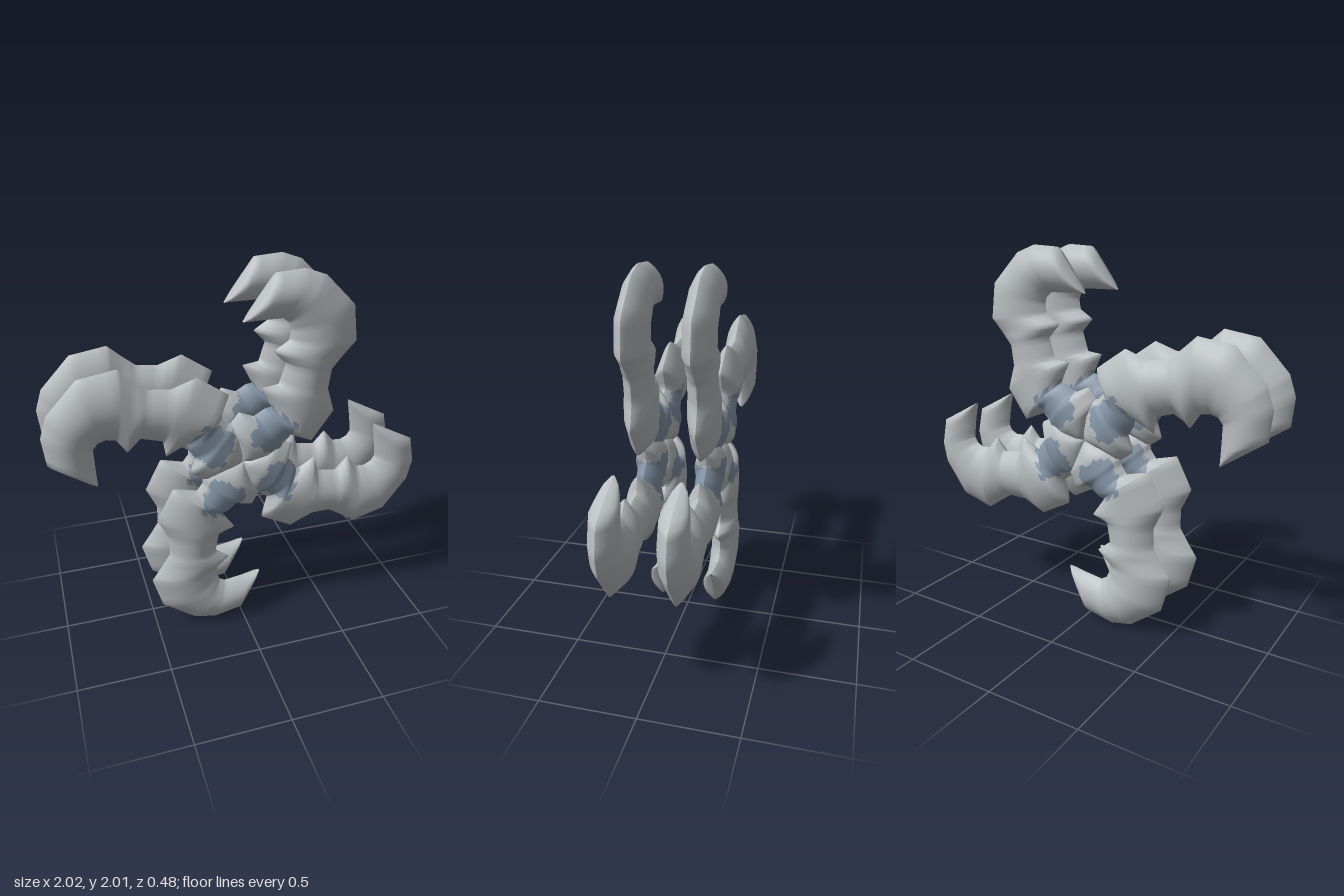
import * as THREE from 'three';

const steel = new THREE.MeshStandardMaterial({ color: 0xb8bdc0 });
steel.name = 'pale grey';
const blue = new THREE.MeshStandardMaterial({ color: 0x8494a6 });
blue.name = 'slate blue';

// Stations from hooked tip to hub: [outer x, outer y, inner x, inner y]
const stations = [
  [-0.001, 0.756, 0.001, 0.754],
  [0.16, 0.98, 0.10, 0.755],
  [0.31, 0.99, 0.205, 0.755],
  [0.42, 0.95, 0.235, 0.73],
  [0.58, 0.79, 0.247, 0.69],
  [0.605, 0.60, 0.238, 0.64],
  [0.54, 0.53, 0.16, 0.59],
  [0.48, 0.46, 0.225, 0.52],
  [0.465, 0.35, 0.19, 0.41],
  [0.505, 0.22, 0.10, 0.40],
  [0.39, 0.06, 0.155, 0.29],
  [0.27, 0.11, 0.12, 0.285],
  [0.23, 0.07, 0.06, 0.25],
  [0.22, 0.03, -0.02, 0.283],
  [0.17, 0.0, -0.075, 0.21],
  [0.06, -0.01, -0.03, 0.09],
  [0.002, 0.0, -0.002, 0.01],
];
const ACROSS = 14, SUB = 4;

// Irregular tinted patch around the neck
function isBlue(x, y) {
  const dx = x - 0.145, dy = y - 0.175, a = Math.atan2(dy, dx);
  return Math.hypot(dx, dy) < 0.113 + 0.013 * Math.sin(4 * a + 1) + 0.008 * Math.sin(9 * a);
}

// One bulging side of the blade; side is +1 for front, -1 for back
function bladeSide(side) {
  const pos = [], plain = [], tinted = [];
  const rows = (stations.length - 1) * SUB;
  for (let i = 0; i <= rows; i++) {
    const k = Math.min(Math.floor(i / SUB), stations.length - 2), f = i / SUB - k;
    const [ox, oy, ix, iy] = stations[k].map((v, n) => v + (stations[k + 1][n] - v) * f);
    const h = 0.079 * Math.min(1, Math.sqrt(Math.hypot(ox - ix, oy - iy) / 0.31));
    for (let j = 0; j <= ACROSS; j++) {
      const s = (1 - Math.cos(Math.PI * j / ACROSS)) / 2, t = 2 * s - 1;
      pos.push(ox + (ix - ox) * s, oy + (iy - oy) * s, side * h * Math.pow(1 - t * t, 0.85));
    }
  }
  const addTri = (a, b, c) => {
    const mid = n => (pos[a * 3 + n] + pos[b * 3 + n] + pos[c * 3 + n]) / 3;
    (isBlue(mid(0), mid(1)) ? tinted : plain).push(...(side > 0 ? [a, b, c] : [a, c, b]));
  };
  for (let i = 0; i < rows; i++) {
    for (let j = 0; j < ACROSS; j++) {
      const a = i * (ACROSS + 1) + j, c = a + ACROSS + 1;
      addTri(a, a + 1, c);
      addTri(a + 1, c + 1, c);
    }
  }
  const geo = new THREE.BufferGeometry();
  geo.setAttribute('position', new THREE.Float32BufferAttribute(pos, 3));
  geo.setIndex([...plain, ...tinted]);
  geo.addGroup(0, plain.length, 0);
  geo.addGroup(plain.length, tinted.length, 1);
  geo.computeVertexNormals();
  return geo;
}

export function createModel() {
  const model = new THREE.Group();
  model.name = 'twinHookedRotors';
  const front = bladeSide(1), back = bladeSide(-1);

  // Two identical rotors, each with four hooked blades
  for (const [name, z] of [['frontRotor', 0.16], ['backRotor', -0.16]]) {
    const rotor = new THREE.Group();
    rotor.name = name;
    rotor.position.set(0, 1, z);
    [0, 91.5, 188, 278].forEach((deg, n) => {
      const blade = new THREE.Group();
      blade.name = 'hookedBlade' + (n + 1);
      blade.rotation.z = THREE.MathUtils.degToRad(deg);
      for (const [part, geo] of [['bladeFront', front], ['bladeBack', back]]) {
        const mesh = new THREE.Mesh(geo, [steel, blue]);
        mesh.name = part;
        blade.add(mesh);
      }
      rotor.add(blade);
    });
    model.add(rotor);
  }
  return model;
}
